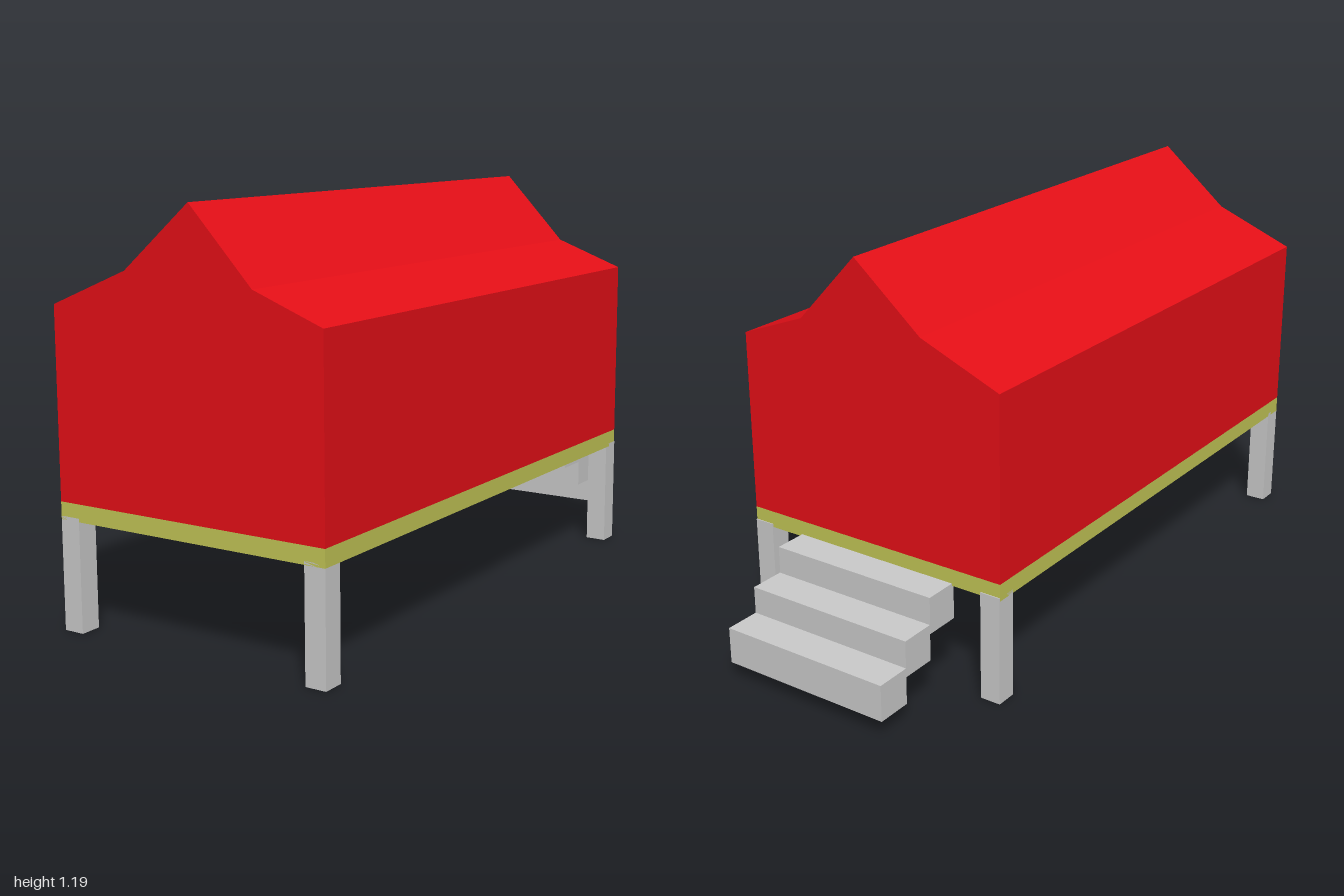
import * as THREE from 'three';

const grey = new THREE.MeshStandardMaterial({ color: 0xcccccc, flatShading: true });
const red = new THREE.MeshStandardMaterial({ color: 0xe60f17, flatShading: true });
const olive = new THREE.MeshStandardMaterial({ color: 0xc3c656, flatShading: true });

const FRONT = 1, BACK = -0.685, HALF = 0.436;

// Box given by its min and max corners
function box(name, material, [x0, y0, z0], [x1, y1, z1]) {
  const mesh = new THREE.Mesh(new THREE.BoxGeometry(x1 - x0, y1 - y0, z1 - z0), material);
  mesh.position.set((x0 + x1) / 2, (y0 + y1) / 2, (z0 + z1) / 2);
  mesh.name = name;
  return mesh;
}

export function createModel() {
  const model = new THREE.Group();
  model.name = 'stiltHouse';

  // Walls and two-pitch roof as one extruded gable outline
  const outline = [
    [-HALF, 0.365], [HALF, 0.365], [HALF, 0.905], [0.225, 0.985],
    [0.03, 1.19], [-0.185, 1.008], [-HALF, 0.905],
  ];
  const shape = new THREE.Shape(outline.map(([x, y]) => new THREE.Vector2(x, y)));
  const body = new THREE.Mesh(
    new THREE.ExtrudeGeometry(shape, { depth: FRONT - BACK, bevelEnabled: false }), red);
  body.position.z = BACK;
  body.name = 'houseBody';
  model.add(body);

  // Floor slab
  model.add(box('floor', olive, [-HALF, 0.315, BACK], [HALF, 0.365, FRONT]));

  // Four corner stilts, their tops let into the floor
  for (const [side, x] of [['Left', 0.373], ['Right', -0.436]]) {
    for (const [end, z] of [['front', 0.936], ['back', -0.688]]) {
      model.add(box(`${end}${side}Leg`, grey, [x, 0, z], [x + 0.063, 0.325, z + 0.064]));
    }
  }

  // Steps descending from the back
  const steps = new THREE.Group();
  steps.name = 'steps';
  const treads = [[0.213, 0.322, -0.785], [0.133, 0.241, -0.893], [0.052, 0.16, -1]];
  treads.forEach(([y0, y1, z], i) => {
    steps.add(box(`step${i + 1}`, grey, [-0.277, y0, z], [0.261, y1, z + 0.107]));
  });
  model.add(steps);

  return model;
}
